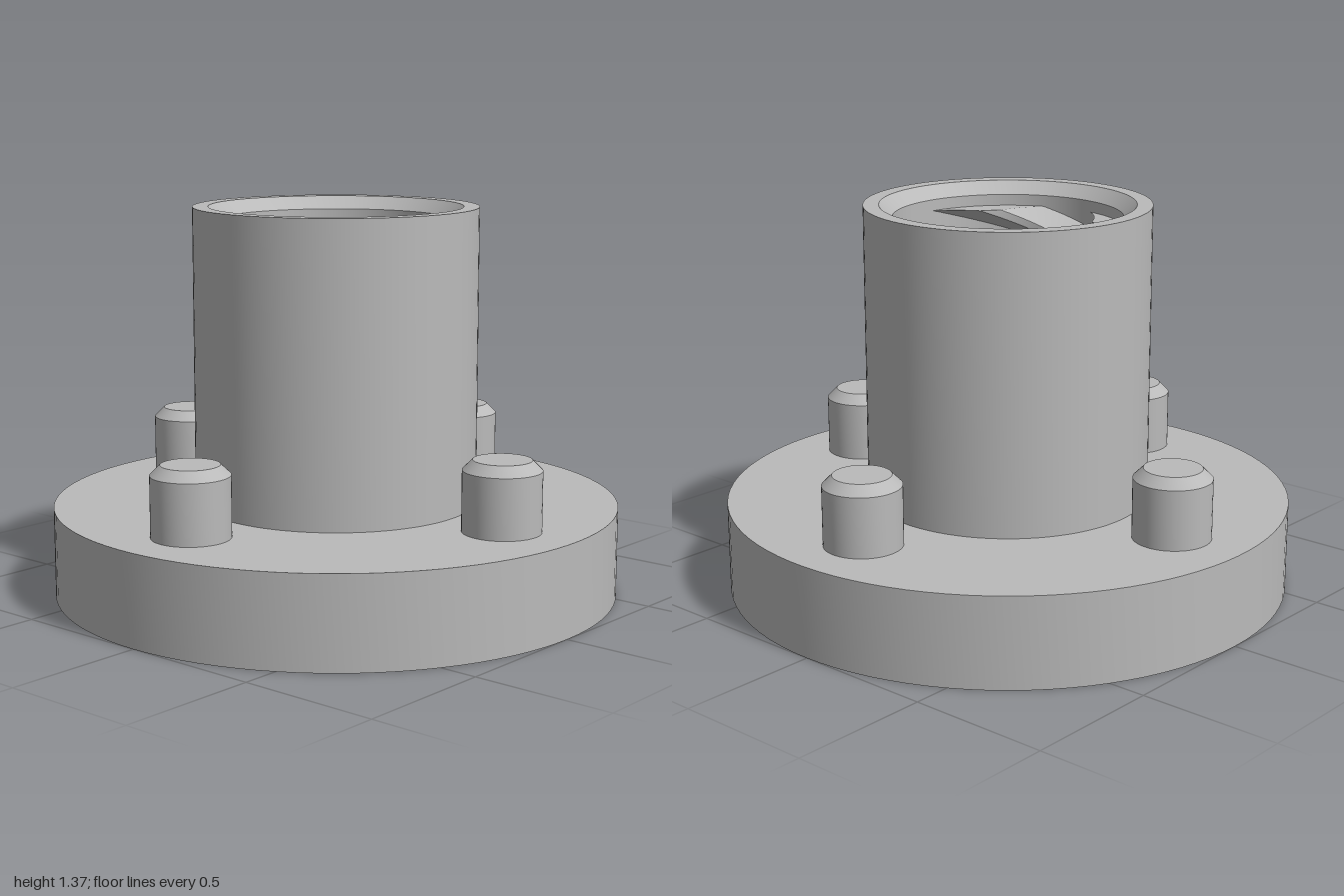
import * as THREE from 'three';
import { toCreasedNormals } from 'three/addons/utils/BufferGeometryUtils.js';

const CREASE = 0.45;
const HEIGHT = 1.365, FLANGE_TOP = 0.32;
const BORE = 0.4, BORE_RIM = 0.445, CREST = 0.31, CHAMFER = 0.045;
const LEAD = 0.727, STARTS = 4;
const THREAD_BOTTOM = 0.085, THREAD_TOP = 1.28;

// Revolve a profile of [radius, y] pairs, keeping its corners sharp
function revolve(profile, segments) {
  const points = profile.map(([r, y]) => new THREE.Vector2(r, y));
  return toCreasedNormals(new THREE.LatheGeometry(points, segments), CREASE);
}

// One helical ridge: a lobe section extruded upward and twisted, flat at both ends
function threadRidge() {
  const deg = Math.PI / 180;
  const points = [];
  const sweep = (r0, a0, r1, a1, n) => {
    for (let i = 0; i < n; i++) {
      const t = i / n;
      const r = r0 + (r1 - r0) * t, a = (a0 + (a1 - a0) * t) * deg;
      points.push(new THREE.Vector2(r * Math.cos(a), r * Math.sin(a)));
    }
  };
  sweep(0.412, 22, 0.412, 84, 10);       // root, sunk into the bore wall
  sweep(BORE + 0.002, 84, CREST, 60, 8); // lower flank
  sweep(CREST, 60, CREST, 46, 4);        // crest
  sweep(CREST, 46, BORE + 0.002, 22, 8); // upper flank
  points.push(new THREE.Vector2(0.402 * Math.cos(22 * deg), 0.402 * Math.sin(22 * deg)));

  const depth = THREAD_TOP - THREAD_BOTTOM;
  const geometry = new THREE.ExtrudeGeometry(new THREE.Shape(points), {
    depth, steps: 120, bevelEnabled: false,
  });
  const pos = geometry.attributes.position;
  for (let i = 0; i < pos.count; i++) {
    const x = pos.getX(i), y = pos.getY(i), z = pos.getZ(i);
    const twist = (2 * Math.PI * (z - depth)) / LEAD;
    const c = Math.cos(twist), s = Math.sin(twist);
    pos.setXY(i, x * c - y * s, x * s + y * c);
  }
  geometry.rotateX(-Math.PI / 2);
  geometry.translate(0, THREAD_BOTTOM, 0);
  return toCreasedNormals(geometry, CREASE);
}

export function createModel() {
  const metal = new THREE.MeshStandardMaterial({ color: 0xbababa });
  metal.name = 'plain grey metal';

  const model = new THREE.Group();
  model.name = 'flangedThreadedNut';
  const add = (name, geometry) => {
    const mesh = new THREE.Mesh(geometry, metal);
    mesh.name = name;
    model.add(mesh);
    return mesh;
  };

  // Wide round flange
  add('flange', revolve([
    [BORE_RIM, 0], [1, 0], [1, FLANGE_TOP], [0.5, FLANGE_TOP],
  ], 96));

  // Upright sleeve with its rim
  add('sleeve', revolve([
    [0.5, FLANGE_TOP], [0.5, HEIGHT], [BORE_RIM, HEIGHT],
  ], 96));

  // Through bore, chamfered at both ends
  add('bore', revolve([
    [BORE_RIM, HEIGHT], [BORE, HEIGHT - CHAMFER], [BORE, CHAMFER], [BORE_RIM, 0],
  ], 96));

  // Four-start internal thread
  const ridge = threadRidge();
  for (let i = 0; i < STARTS; i++) {
    add('threadRidge' + (i + 1), ridge).rotation.y = (i * 2 * Math.PI) / STARTS;
  }

  // Four chamfered pegs standing on the flange
  const peg = revolve([
    [0.135, FLANGE_TOP], [0.135, 0.53], [0.1, 0.565], [0, 0.565],
  ], 48);
  for (let i = 0; i < 4; i++) {
    const a = (i * Math.PI) / 2;
    add('peg' + (i + 1), peg).position.set(0.73 * Math.cos(a), 0, 0.73 * Math.sin(a));
  }

  return model;
}
